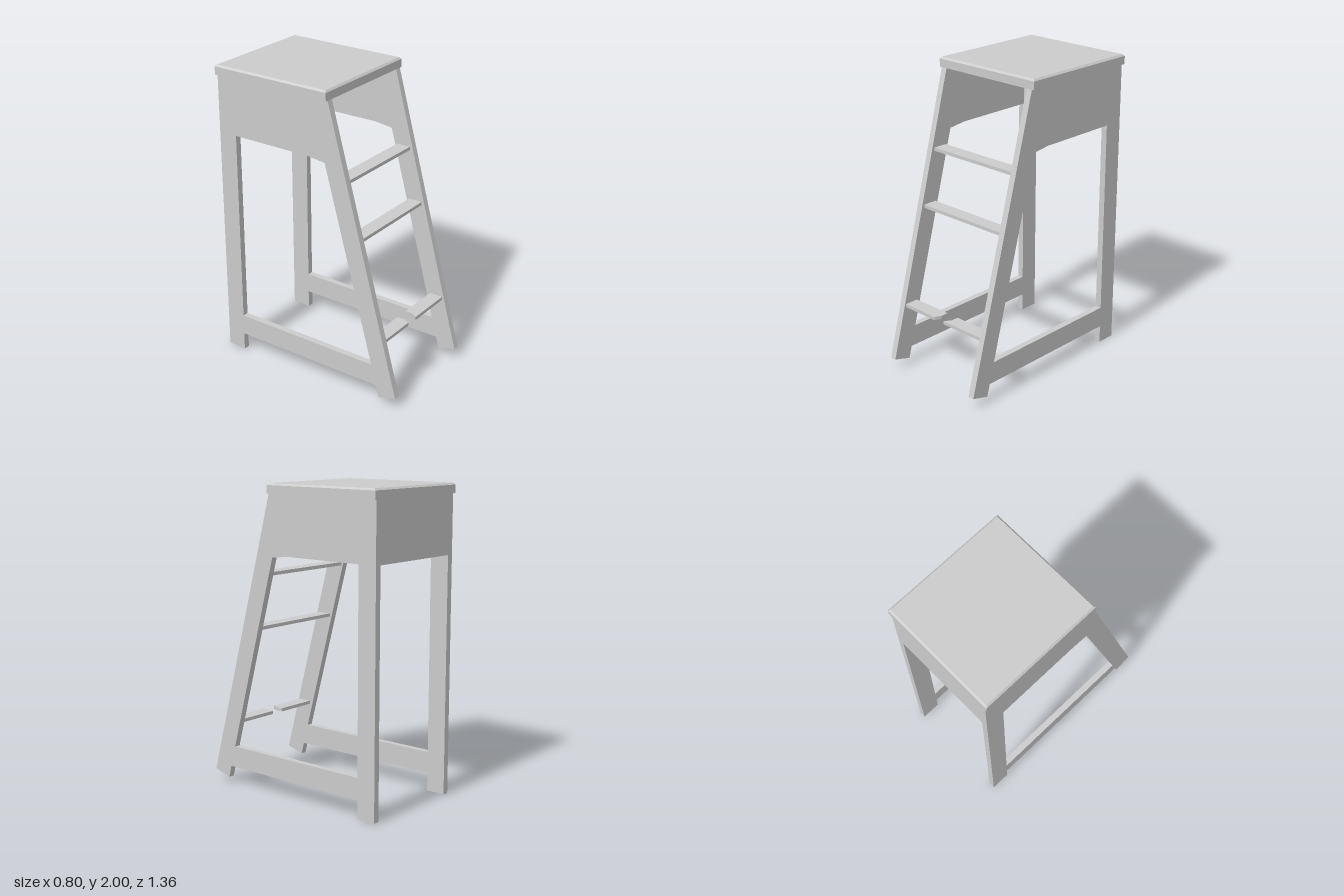
import * as THREE from 'three';

const material = new THREE.MeshStandardMaterial({ color: 0xcccccc, flatShading: true });
const points = (list) => list.map(([a, b]) => new THREE.Vector2(a, b));

function addMesh(group, name, geometry) {
  const mesh = new THREE.Mesh(geometry, material);
  mesh.name = name;
  group.add(mesh);
  return mesh;
}

function addBox(group, name, x0, x1, y0, y1, z0, z1) {
  const mesh = addMesh(group, name, new THREE.BoxGeometry(x1 - x0, y1 - y0, z1 - z0));
  mesh.position.set((x0 + x1) / 2, (y0 + y1) / 2, (z0 + z1) / 2);
}

// Seat slab whose top edge is chamfered on all four sides
function seatGeometry(w, h, d, chamfer) {
  const geometry = new THREE.BoxGeometry(w, h, d, 1, 2, 1).toNonIndexed();
  const p = geometry.attributes.position;
  for (let i = 0; i < p.count; i++) {
    const y = p.getY(i);
    if (y > h / 4) {
      p.setX(i, p.getX(i) - Math.sign(p.getX(i)) * chamfer);
      p.setZ(i, p.getZ(i) - Math.sign(p.getZ(i)) * chamfer);
    } else if (y > -h / 4) {
      p.setY(i, h / 2 - chamfer);
    }
  }
  geometry.computeVertexNormals();
  return geometry;
}

// Side frame outline in (z, y): sloped front leg, upright back leg, lower rail
function sideGeometry(thickness) {
  const shape = new THREE.Shape(points([
    [-0.675, 0], [-0.545, 0], [-0.545, 0.12], [0.535, 0.12], [0.557, 0.04],
    [0.68, 0.075], [0.17, 1.935], [-0.675, 1.935],
  ]));
  shape.holes.push(new THREE.Path(points([
    [-0.545, 0.26], [-0.545, 1.555], [0.02, 1.555], [0.145, 1.54], [0.497, 0.26],
  ])));
  const geometry = new THREE.ExtrudeGeometry(shape, { depth: thickness, bevelEnabled: false });
  return geometry.rotateY(-Math.PI / 2).translate(thickness / 2, 0, 0);
}

export function createModel() {
  const group = new THREE.Group();
  const inner = 0.34, outer = 0.382;

  const seat = addMesh(group, 'seat', seatGeometry(0.8, 0.065, 0.85, 0.012));
  seat.position.set(0, 1.9675, -0.255);

  const side = sideGeometry(outer - inner);
  for (const [name, sign] of [['leftSideFrame', 1], ['rightSideFrame', -1]]) {
    addMesh(group, name, side).position.x = sign * (inner + outer) / 2;
  }

  // Deep cross member between the back legs
  addBox(group, 'backPanel', -inner, inner, 1.555, 1.935, -0.675, -0.545);

  // Two whole rungs
  addBox(group, 'upperRung', -inner, inner, 1.42, 1.442, 0.19, 0.287);
  addBox(group, 'middleRung', -inner, inner, 1.06, 1.082, 0.292, 0.388);

  // Bottom rung, snapped in the middle
  const halves = {
    lowerRungRightStub: [[-inner, 0.475], [-0.052, 0.475], [-0.052, 0.527], [-0.073, 0.57], [-inner, 0.57]],
    lowerRungLeftStub: [[inner, 0.475], [0.04, 0.475], [0.04, 0.527], [0.01, 0.57], [inner, 0.57]],
  };
  for (const [name, outline] of Object.entries(halves)) {
    const geometry = new THREE.ExtrudeGeometry(new THREE.Shape(points(outline)), { depth: 0.022, bevelEnabled: false });
    addMesh(group, name, geometry.rotateX(Math.PI / 2)).position.y = 0.44;
  }
  return group;
}
